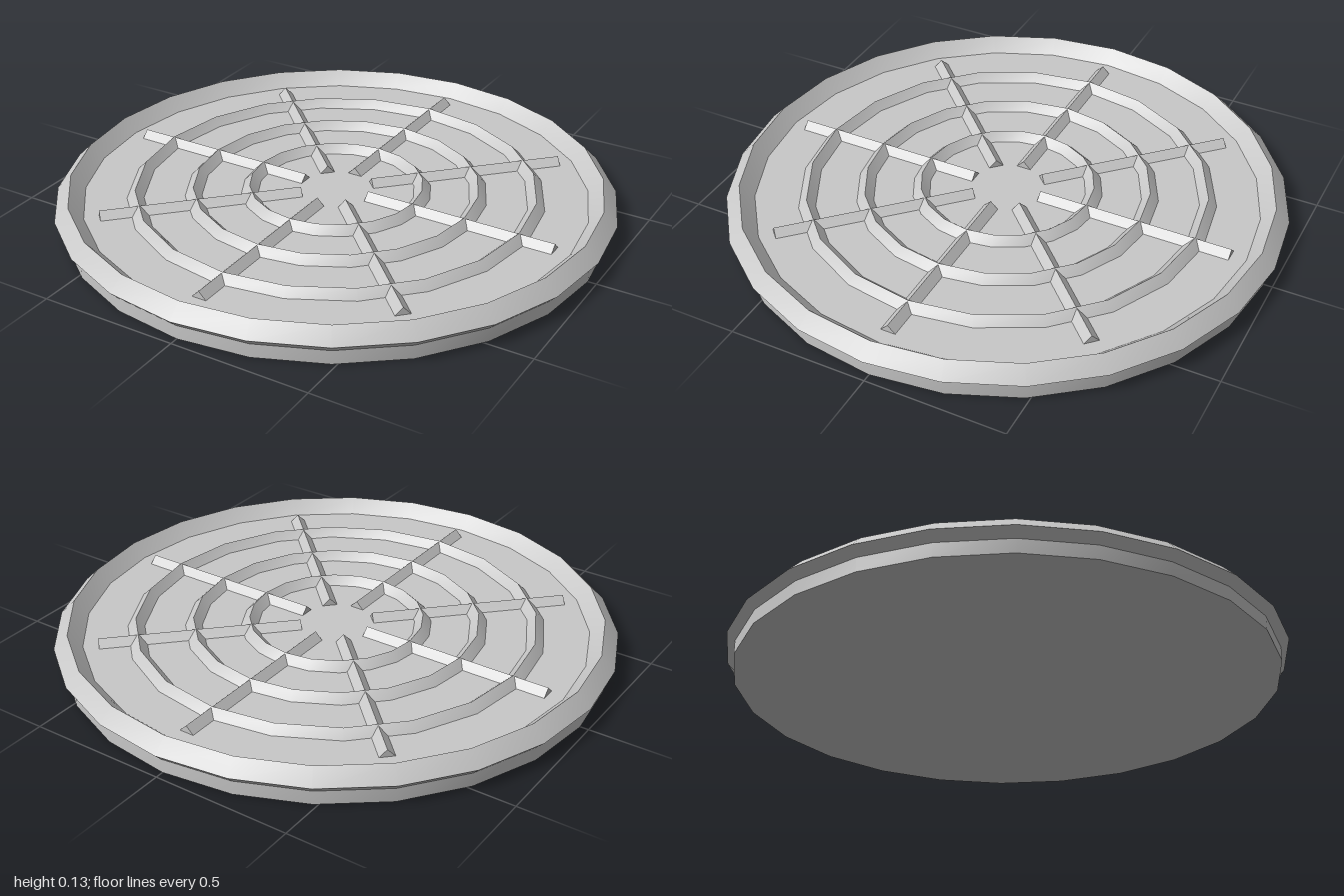
import * as THREE from 'three';
import { toCreasedNormals } from 'three/addons/utils/BufferGeometryUtils.js';

const DECK = 0.08; // height of the plate's top face

export function createModel() {
  const model = new THREE.Group();
  model.name = 'roundCover';
  const metal = new THREE.MeshStandardMaterial({ color: 0xc8c8c8 });
  metal.name = 'light grey metal';

  const add = (name, geometry, y) => {
    const mesh = new THREE.Mesh(toCreasedNormals(geometry, 0.6), metal);
    mesh.name = name;
    mesh.position.y = y;
    model.add(mesh);
    return mesh;
  };

  // Ring with a diamond cross-section, lying flat
  const ring = (name, radius, tube, segments) =>
    add(name, new THREE.TorusGeometry(radius, tube, 4, segments).rotateX(-Math.PI / 2), DECK);

  // Base plate and raised rim
  add('plate', new THREE.CylinderGeometry(0.97, 0.97, DECK, 24), DECK / 2);
  ring('rim', 0.95, 0.05, 24);

  // Concentric ridges
  [0.31, 0.51, 0.715].forEach((r, i) => ring(`ridgeRing${i + 1}`, r, 0.03, 20));

  // Radial ridges, diamond in section with one edge up
  const inner = 0.13, outer = 0.845;
  for (let i = 0; i < 8; i++) {
    const bar = new THREE.CylinderGeometry(0.027, 0.027, outer - inner, 4)
      .rotateZ(Math.PI / 2)
      .translate((inner + outer) / 2, 0, 0)
      .rotateY((i * Math.PI) / 4);
    add(`radialRidge${i + 1}`, bar, DECK);
  }

  return model;
}
